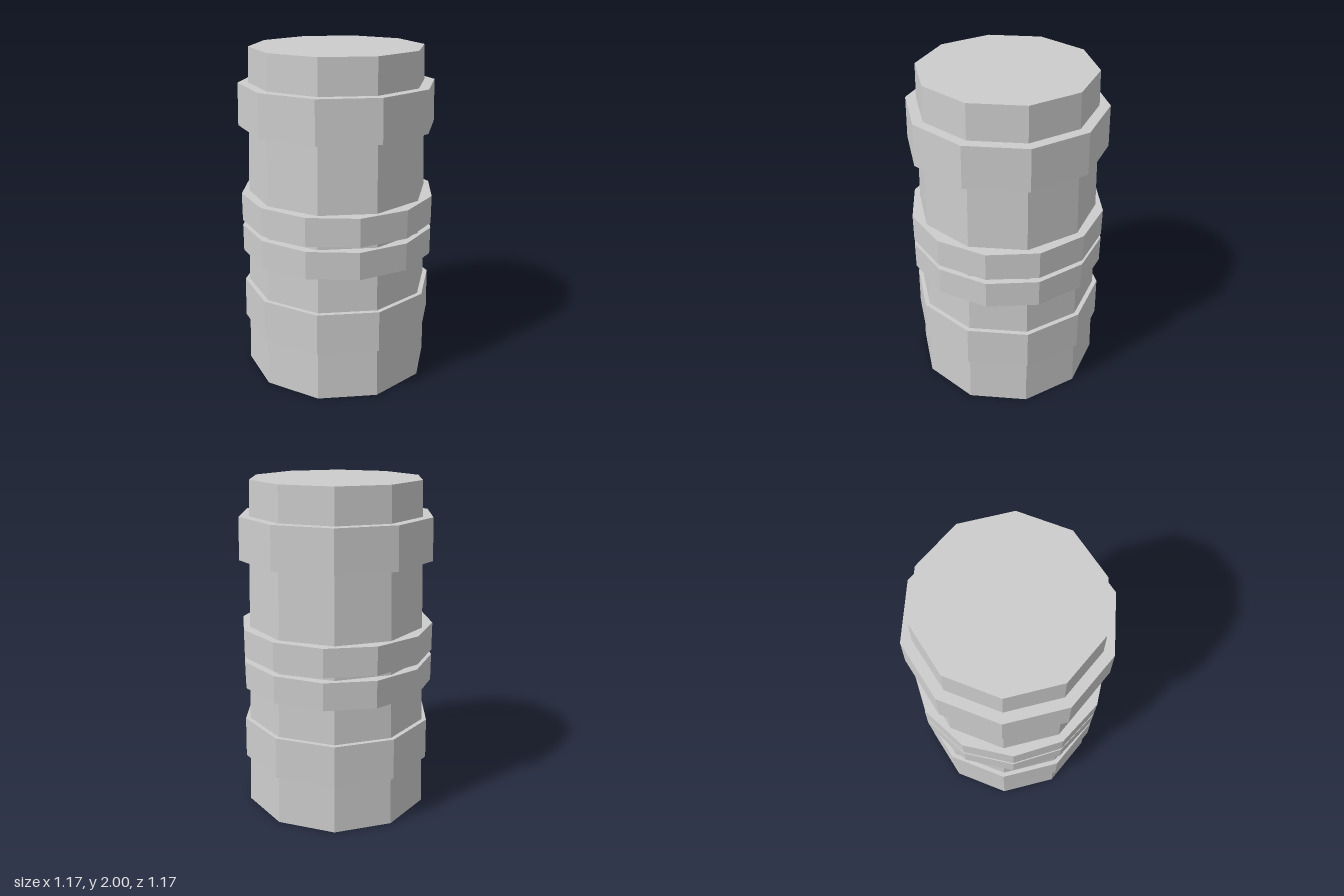
import * as THREE from 'three';

const HEIGHT = 2;

export function createModel() {
  const group = new THREE.Group();
  const grey = new THREE.MeshStandardMaterial({ color: 0xcccccc });
  grey.name = 'lightGrey';

  // Faceted prism between two heights, with corners on the x axis
  function prism(name, sides, y0, y1, r0, r1) {
    const cylinder = new THREE.CylinderGeometry(r1, r0, y1 - y0, sides);
    cylinder.rotateY(Math.PI / 2);
    cylinder.translate(0, (y0 + y1) / 2, 0);
    const geometry = cylinder.toNonIndexed();
    geometry.computeVertexNormals();
    const mesh = new THREE.Mesh(geometry, grey);
    mesh.name = name;
    group.add(mesh);
  }

  // Tapered ten-sided body
  prism('body', 10, 0, HEIGHT, 0.571, 0.513);

  // Ten-sided outer bands
  prism('lowerBand', 10, 0.306, 0.556, 0.587, 0.583);
  prism('upperBand', 10, 1.545, 1.795, 0.587, 0.581);

  // Pair of twelve-sided rings around the middle
  prism('lowerMiddleRing', 12, 0.777, 0.942, 0.586, 0.586);
  prism('upperMiddleRing', 12, 0.972, 1.142, 0.586, 0.586);

  return group;
}
